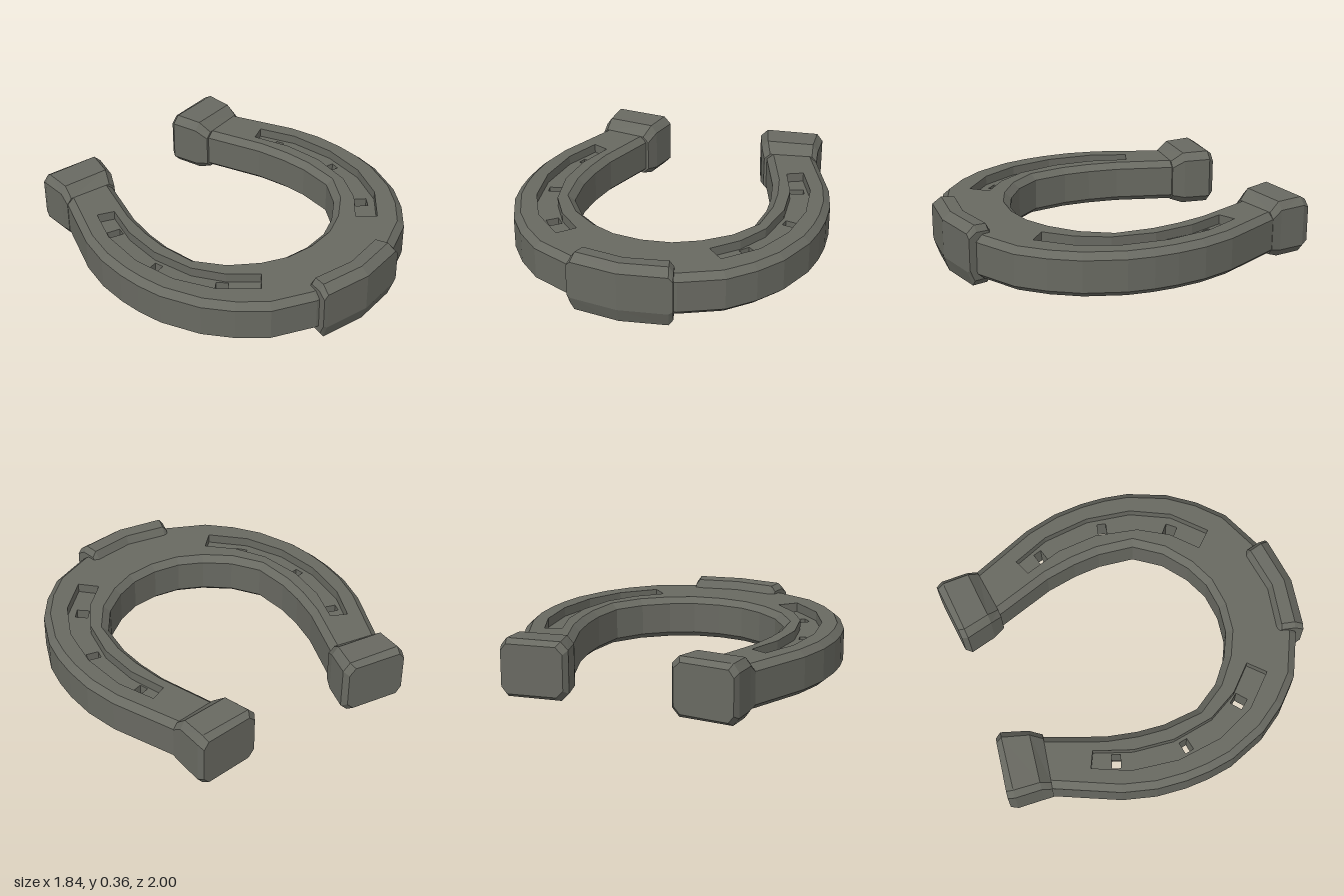
import * as THREE from 'three';

const iron = new THREE.MeshStandardMaterial({ color: 0x686961 });
iron.name = 'dark iron';

// Heights of the flat faces and of the nail groove floors
const BOTTOM = 0.045, TOP = 0.3, BEVEL = 0.04, FLOOR_LOW = 0.1, FLOOR_HIGH = 0.245;

const mirror = pts => pts.map(([x, z]) => [-x, z]);
const plan = pts => pts.map(p => new THREE.Vector2(p[0], p[1]));
const atHeight = (pts, y) => pts.map(([x, z]) => [x, y, z]);

// Put a plan loop in the wanted winding
function wind(pts, positive) {
  return (THREE.ShapeUtils.area(plan(pts)) > 0) === positive ? pts : pts.slice().reverse();
}

// Faceted skin over closed rings; with caps it becomes a solid facing outward
function loft(rings, capped = false) {
  let tris = [];
  const n = rings[0].length;
  for (let r = 0; r < rings.length - 1; r++) {
    for (let i = 0; i < n; i++) {
      const j = (i + 1) % n, lo = rings[r], hi = rings[r + 1];
      tris.push([lo[i], lo[j], hi[j]], [lo[i], hi[j], hi[i]]);
    }
  }
  if (capped) {
    const mid = ring => [0, 1, 2].map(k => ring.reduce((s, p) => s + p[k], 0) / n);
    const first = rings[0], last = rings[rings.length - 1];
    const a = mid(first), b = mid(last);
    for (let i = 0; i < n; i++) {
      const j = (i + 1) % n;
      tris.push([a, first[j], first[i]], [b, last[i], last[j]]);
    }
    const v = p => new THREE.Vector3(...p);
    const volume = tris.reduce((s, t) => s + v(t[0]).dot(v(t[1]).cross(v(t[2]))), 0);
    if (volume < 0) tris = tris.map(([p, q, r]) => [p, r, q]);
  }
  const geo = new THREE.BufferGeometry();
  geo.setAttribute('position', new THREE.Float32BufferAttribute(tris.flat(2), 3));
  geo.computeVertexNormals();
  return geo;
}

// Horizontal flat face with holes, facing up or down
function flat(outline, holes, y, up) {
  const s = up ? -1 : 1;
  const toPts = pts => pts.map(([x, z]) => new THREE.Vector2(x, s * z));
  const shape = new THREE.Shape(toPts(outline));
  holes.forEach(h => shape.holes.push(new THREE.Path(toPts(h))));
  return new THREE.ShapeGeometry(shape).rotateX(s * Math.PI / 2).translate(0, y, 0);
}

// Shrink a negatively wound loop by a distance, with mitred corners
function inset(loop, d) {
  const n = loop.length;
  const dir = (a, b) => new THREE.Vector2(b[0] - a[0], b[1] - a[1]).normalize();
  return loop.map((p, i) => {
    const e = dir(loop[(i + n - 1) % n], p), f = dir(p, loop[(i + 1) % n]);
    const k = d / (1 + e.dot(f));
    return [p[0] + (e.y + f.y) * k, p[1] - (e.x + f.x) * k];
  });
}

// Rotated rectangle in plan
function rect([cx, cz, w, h, deg]) {
  const a = deg * Math.PI / 180, c = Math.cos(a), s = Math.sin(a);
  return [[-1, -1], [1, -1], [1, 1], [-1, 1]].map(([u, v]) => {
    const x = u * w / 2, z = v * h / 2;
    return [cx + x * c - z * s, cz + x * s + z * c];
  });
}

// Plan curves of the left half, heel to toe
const outer = [[0.655, -0.86], [0.7, -0.757], [0.862, -0.38], [0.91, -0.185], [0.922, -0.01], [0.915, 0.13],
  [0.89, 0.28], [0.8, 0.505], [0.69, 0.66], [0.55, 0.795], [0.31, 0.905], [0, 0.94]];
const inner = [[0.36, -0.82], [0.4, -0.7], [0.52, -0.36], [0.555, -0.18], [0.567, -0.02], [0.545, 0.19],
  [0.44, 0.345], [0.3, 0.455], [0.16, 0.52], [0, 0.54]];
const groove = [[0.677, -0.503], [0.767, -0.29], [0.8, -0.015], [0.762, 0.25], [0.656, 0.476], [0.48, 0.65],
  [0.39, 0.56], [0.53, 0.425], [0.63, 0.25], [0.677, 0], [0.656, -0.24], [0.583, -0.46]];
const nailHoles = [[0.674, -0.35, 0.082, 0.052, -17], [0.725, 0.058, 0.073, 0.053, 12],
  [0.577, 0.44, 0.075, 0.07, 40]].map(rect);

// Eight-sided heel section between an outer and an inner plan point
function heelSection([o, i, y0, y1, b], side) {
  return [[0, y0 + b], [0, y1 - b], [0.09, y1], [0.89, y1], [1, y1 - b], [1, y0 + b], [0.89, y0], [0.09, y0]]
    .map(([t, y]) => [side * (o[0] + (i[0] - o[0]) * t), y, o[1] + (i[1] - o[1]) * t]);
}

export function createModel() {
  const group = new THREE.Group();
  const add = (name, geo, parent = group) => {
    const mesh = new THREE.Mesh(geo, iron);
    mesh.name = name;
    parent.add(mesh);
  };

  // Curved bar with bevelled edges
  const half = pts => pts.slice(0, -1);
  const loop = wind([...outer, ...mirror(half(outer)).reverse(),
    ...mirror(half(inner)), ...inner.slice().reverse()], false);
  const rim = inset(loop, BEVEL);
  add('barSides', loft([atHeight(rim, BOTTOM), atHeight(loop, BOTTOM + 0.035),
    atHeight(loop, TOP - 0.035), atHeight(rim, TOP)]));
  const grooves = [groove, mirror(groove)];
  add('barTop', flat(rim, grooves, TOP, true));
  add('barBottom', flat(rim, grooves, BOTTOM, false));

  for (const side of [1, -1]) {
    const label = side > 0 ? 'left' : 'right';
    const branch = new THREE.Group();
    branch.name = label + 'Branch';
    group.add(branch);

    // Nail grooves above and below, joined by through holes
    const g = wind(side > 0 ? groove : mirror(groove), true);
    const holes = nailHoles.map(h => wind(side > 0 ? h : mirror(h), true));
    add('upperGrooveWalls', loft([atHeight(g, FLOOR_HIGH), atHeight(g, TOP)]), branch);
    add('lowerGrooveWalls', loft([atHeight(g, BOTTOM), atHeight(g, FLOOR_LOW)]), branch);
    add('upperGrooveFloor', flat(g, holes, FLOOR_HIGH, true), branch);
    add('lowerGrooveFloor', flat(g, holes, FLOOR_LOW, false), branch);
    holes.forEach(h => add('nailHole', loft([atHeight(h, FLOOR_LOW), atHeight(h, FLOOR_HIGH)]), branch));

    // Thickened heel block
    const sections = [
      [[0.708, -0.745], [0.385, -0.695], 0.045, 0.3, 0.035],
      [[0.702, -0.805], [0.35, -0.765], 0.022, 0.355, 0.045],
      [[0.698, -0.96], [0.305, -0.92], 0.025, 0.36, 0.045],
      [[0.682, -1.0], [0.325, -0.955], 0.05, 0.335, 0.04],
    ];
    add('heel', loft(sections.map(s => heelSection(s, side)), true), branch);
  }

  // Toe clip wrapped around the front: profile points are depth from its back edge and height
  const clip = [[0, 0.29], [0.03, 0.348], [0.105, 0.355], [0.155, 0.315], [0.155, 0.09],
    [0.125, 0.003], [0.03, 0], [0, 0.05]];
  const clipRing = (x, flare, z, squash) => clip.map(([d, y]) =>
    [x + Math.sign(x) * flare * d, 0.18 + (y - 0.18) * squash, z + d]);
  add('toeClip', loft([
    clipRing(-0.265, 0.25, 0.798, 0.8), clipRing(-0.24, 0.25, 0.802, 1), clipRing(0, 0, 0.842, 1),
    clipRing(0.24, 0.25, 0.802, 1), clipRing(0.265, 0.25, 0.798, 0.8),
  ], true));

  return group;
}
